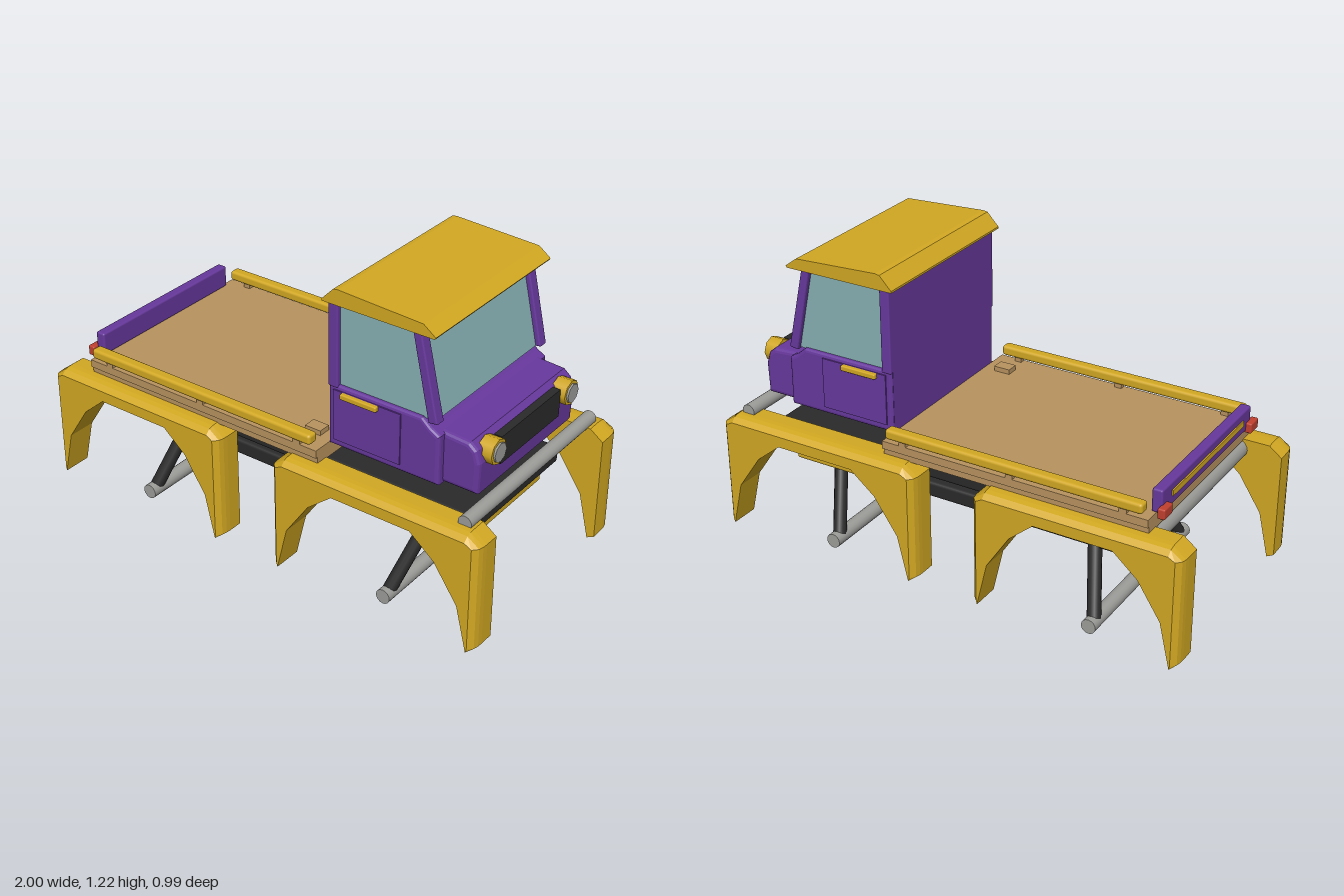
import * as THREE from 'three';
import { RoundedBoxGeometry } from 'three/addons/geometries/RoundedBoxGeometry.js';

const paint = (name, color, side = THREE.FrontSide) => {
  const m = new THREE.MeshStandardMaterial({ color, side });
  m.name = name;
  return m;
};

export function createModel() {
  const root = new THREE.Group();
  root.name = 'flatbedTruck';
  const yellow = paint('yellow', 0xd2a822);
  const purple = paint('purple', 0x67389c);
  const wood = paint('wood', 0xb8935f);
  const steel = paint('steel', 0x9c9d99);
  const black = paint('black', 0x2a2a2a);
  const red = paint('red', 0xc0402f);
  const glass = paint('glass', 0x86b0b4, THREE.DoubleSide);

  const add = (name, geo, mat) => {
    const mesh = new THREE.Mesh(geo, mat);
    mesh.name = name;
    root.add(mesh);
    return mesh;
  };
  // Box given by its bounds, with optional rounded edges
  const box = (name, mat, [x0, x1], [y0, y1], [z0, z1], r = 0) => {
    const s = [x1 - x0, y1 - y0, z1 - z0];
    const geo = r ? new RoundedBoxGeometry(...s, 2, r) : new THREE.BoxGeometry(...s);
    geo.translate((x0 + x1) / 2, (y0 + y1) / 2, (z0 + z1) / 2);
    return add(name, geo, mat);
  };
  // Side profile extruded across z, keeping its outline when bevelled
  const slab = (name, mat, pts, z0, z1, b = 0) => {
    const shape = new THREE.Shape(pts.map(p => new THREE.Vector2(...p)));
    const geo = new THREE.ExtrudeGeometry(shape, {
      depth: z1 - z0 - 2 * b, bevelEnabled: b > 0, bevelThickness: b,
      bevelSize: b, bevelOffset: -b, bevelSegments: 3,
    });
    return add(name, geo.translate(0, 0, z0 + b), mat);
  };
  // Round bar between two points
  const bar = (name, mat, a, b, r, sides = 12) => {
    const p = new THREE.Vector3(...a), q = new THREE.Vector3(...b), d = q.clone().sub(p);
    const mesh = add(name, new THREE.CylinderGeometry(r, r, d.length(), sides), mat);
    mesh.position.copy(p).add(q).multiplyScalar(0.5);
    mesh.quaternion.setFromUnitVectors(new THREE.Vector3(0, 1, 0), d.normalize());
    return mesh;
  };

  // Arched mudguards with the outer edge rounded off
  const mudguard = (name, cx, half, side) => {
    const arch = [[.42, .035], [.375, .22], [.275, .365], [.17, .45]];
    const right = [[.45, .05], [.45, .48], [.395, .52]];
    const flip = list => list.map(([x, y]) => [-x, y]).reverse();
    const outline = [...arch.slice().reverse(), ...[]];
    const pts = [...outline, ...right, ...flip(right), ...flip(outline)];
    const k = half / .45;
    const shape = new THREE.Shape(pts.map(([x, y]) => new THREE.Vector2(x * k, y)));
    const depth = .12;
    const geo = new THREE.ExtrudeGeometry(shape, { depth, steps: 6, bevelEnabled: false });
    const p = geo.attributes.position;
    for (let i = 0; i < p.count; i++) {
      const t = Math.max(0, (p.getZ(i) - .06) / .06);
      const inset = .025 * (1 - Math.sqrt(1 - t * t));
      const lim = half - inset;
      p.setX(i, THREE.MathUtils.clamp(p.getX(i), -lim, lim));
      p.setY(i, Math.min(p.getY(i), .52 - inset));
    }
    if (side < 0) geo.rotateY(Math.PI);
    geo.computeVertexNormals();
    geo.translate(cx, 0, side * .373);
    add(name, geo, yellow);
  };
  for (const s of [1, -1]) {
    mudguard('frontMudguard', .55, .45, s);
    mudguard('rearMudguard', -.575, .425, s);
  }

  // Chassis, axles and struts
  box('chassisDeck', black, [-.655, .86], [.385, .455], [-.295, .295], .012);
  box('chassisSpine', black, [-.68, .53], [.32, .39], [-.175, .175]);
  box('chassisPan', black, [-.68, .53], [.27, .335], [-.25, .25], .012);
  box('frontStep', yellow, [.49, .8], [.282, .333], [-.283, .283], .012);
  for (const x of [-.6, .55]) {
    bar('axle', steel, [x, .03, -.4], [x, .03, .4], .03, 16);
    for (const s of [1, -1])
      bar('strut', black, [x, .04, s * .355], [x + .105, .41, s * .165], .027);
  }
  bar('frontBumper', steel, [.907, .53, -.433], [.907, .53, .433], .028, 16);
  bar('rearBumper', steel, [-.82, .475, -.375], [-.82, .475, .375], .04, 16);

  // Load bed
  box('bedFrame', wood, [-.84, .27], [.515, .545], [-.425, .425]);
  box('bedBoards', wood, [-.84, .27], [.545, .577], [-.435, .435]);
  box('bedHatch', wood, [.15, .22], [.577, .597], [.29, .342]);
  for (const s of [1, -1]) {
    const z = (a, b) => s > 0 ? [a, b] : [-b, -a];
    box('sideRail', yellow, [-.82, .25], [.595, .637], z(.4, .447), .012);
    for (const x of [-.74, -.28, .18])
      box('railPost', wood, [x - .015, x + .015], [.577, .6], z(.41, .435));
    box('tailLight', red, [-.885, -.855], [.57, .612], z(.335, .4), .006);
  }
  box('tailboard', purple, [-.862, -.82], [.577, .67], [-.375, .375], .008);
  box('tailStripe', yellow, [-.868, -.86], [.615, .637], [-.3, .3]);

  // Cab body and bonnet
  slab('cabBody', purple, [[.27, .575], [.745, .575], [.745, .775], [.71, .795],
    [.67, .83], [.27, .83]], -.36, .36, .014);
  slab('bonnet', purple, [[.7, .575], [.885, .575], [.89, .7], [.875, .75],
    [.845, .775], [.7, .785]], -.328, .328, .018);
  box('cabBack', purple, [.27, .29], [.6, 1.16], [-.35, .35]);

  // Cab windows, pillars and doors
  slab('windscreenHeader', purple, [[.3, 1.145], [.64, 1.145], [.635, 1.165], [.3, 1.165]], -.34, .34);
  const screen = new THREE.PlaneGeometry(.65, 1);
  const sp = screen.attributes.position;
  for (let i = 0; i < 4; i++) {
    const top = sp.getY(i) > 0;
    sp.setXYZ(i, top ? .642 : .718, top ? 1.16 : .825, -sp.getX(i));
  }
  screen.computeVertexNormals();
  add('windscreen', screen, glass);
  for (const s of [1, -1]) {
    const z = (a, b) => s > 0 ? [a, b] : [-b, -a];
    slab('sideWindow', glass, [[.3, .825], [.7, .825], [.635, 1.15], [.3, 1.15]], ...z(.338, .345));
    slab('frontPillar', purple, [[.7, .82], [.737, .825], [.66, 1.165], [.625, 1.165]], ...z(.32, .365), .006);
    box('rearPillar', purple, [.27, .312], [.82, 1.16], z(.32, .363), .006);
    box('door', purple, [.295, .585], [.605, .812], z(.358, .365));
    box('doorHandle', yellow, [.333, .49], [.79, .812], z(.36, .381), .005);
  }

  // Roof
  slab('roof', yellow, [[.25, 1.157], [.72, 1.157], [.725, 1.165], [.675, 1.202],
    [.32, 1.22], [.3, 1.217], [.25, 1.165]], -.373, .373);

  // Grille and headlights
  box('grille', black, [.86, .899], [.645, .757], [-.2, .2]);
  for (const s of [1, -1]) {
    bar('headlightRing', yellow, [.86, .728, s * .248], [.918, .728, s * .248], .05, 8);
    bar('headlightLens', steel, [.9, .728, s * .248], [.926, .728, s * .248], .038, 8);
  }
  return root;
}
